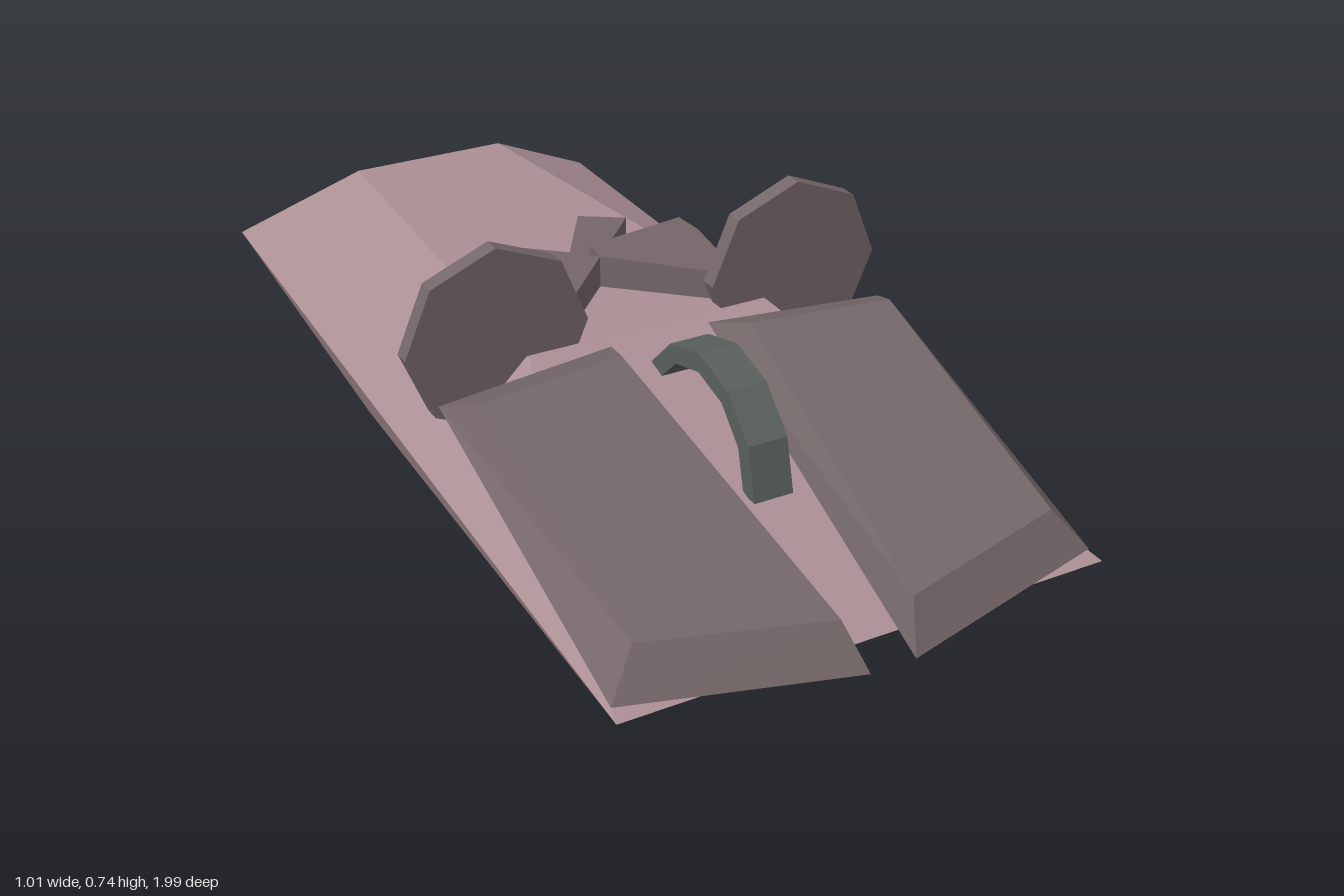
import * as THREE from 'three';

const paint = (color) => new THREE.MeshStandardMaterial({ color, flatShading: true });
const hullPaint = paint(0xab8f94);
const trimPaint = paint(0x756769);
const archPaint = paint(0x59605d);

// Skins a stack of four-cornered loops and closes both ends.
// Corners run front +x, back +x, back -x, front -x.
function loft(loops) {
  const pos = [];
  const quad = (a, b, c, d) => pos.push(...a, ...b, ...c, ...a, ...c, ...d);
  for (let k = 0; k + 1 < loops.length; k++) {
    const lo = loops[k], hi = loops[k + 1];
    for (let i = 0; i < 4; i++) {
      const j = (i + 1) % 4;
      quad(lo[i], lo[j], hi[j], hi[i]);
    }
  }
  quad(...[...loops[0]].reverse());
  quad(...loops[loops.length - 1]);
  const g = new THREE.BufferGeometry();
  g.setAttribute('position', new THREE.Float32BufferAttribute(pos, 3));
  g.computeVertexNormals();
  return g;
}

// Symmetric loop from the front and back half width, height and depth
const loop = (fx, fy, fz, bx, by, bz) =>
  [[fx, fy, fz], [bx, by, bz], [-bx, by, bz], [-fx, fy, fz]];

// Flat plate cut from an outline of [x, z] points, between two heights
function plate(points, bottom, top) {
  const shape = new THREE.Shape(points.map(([x, z]) => new THREE.Vector2(x, -z)));
  const g = new THREE.ExtrudeGeometry(shape, { depth: top - bottom, bevelEnabled: false });
  return g.rotateX(-Math.PI / 2).translate(0, bottom, 0);
}

export function createModel() {
  const model = new THREE.Group();
  const add = (name, geometry, material, x = 0, y = 0, z = 0) => {
    const mesh = new THREE.Mesh(geometry, material);
    mesh.name = name;
    mesh.position.set(x, y, z);
    model.add(mesh);
    return mesh;
  };

  // Hull: belly recess, flat bottom, wide rim and sloped deck
  add('hull', loft([
    loop(0.07, 0.03, 0.105, 0.07, 0.03, -0.195),
    loop(0.07, 0, 0.105, 0.07, 0, -0.195),
    loop(0.29, 0, 0.54, 0.29, 0, -0.63),
    loop(0.484, 0.285, 0.93, 0.437, 0.33, -1),
    loop(0.258, 0.51, 0.16, 0.176, 0.465, -0.91),
  ]), hullPaint, -0.005);

  // Bevelled front pads, mirrored left and right
  const padBase = [[0.478, 0.295, 0.9], [0.472, 0.5, 0.23], [0.105, 0.513, 0.195], [0.045, 0.267, 0.99]];
  const padTop = [[0.418, 0.372, 0.858], [0.435, 0.54, 0.32], [0.137, 0.55, 0.295], [0.072, 0.35, 0.935]];
  const mirror = (l) => l.map(([x, y, z]) => [-x, y, z]).reverse();
  add('leftFrontPad', loft([padBase, padTop]), trimPaint, -0.005);
  add('rightFrontPad', loft([padBase, padTop].map(mirror)), trimPaint, -0.005);

  // Upright eight-sided discs
  for (const [side, name] of [[1, 'leftDisc'], [-1, 'rightDisc']]) {
    const disc = new THREE.CylinderGeometry(0.185, 0.185, 0.035, 8).rotateX(Math.PI / 2);
    add(name, disc, trimPaint, side * 0.32, 0.558, 0.132);
  }

  // Half-ring arch between the pads
  const arch = new THREE.Shape();
  const arc = (r, i) => [r * Math.cos(i * Math.PI / 6), r * Math.sin(i * Math.PI / 6)];
  arch.moveTo(...arc(0.203, 0));
  for (let i = 1; i <= 6; i++) arch.lineTo(...arc(0.203, i));
  for (let i = 6; i >= 0; i--) arch.lineTo(...arc(0.165, i));
  const archGeometry = new THREE.ExtrudeGeometry(arch, { depth: 0.08, bevelEnabled: false })
    .translate(0, 0, -0.04).rotateY(Math.PI / 2);
  add('arch', archGeometry, archPaint, -0.008, 0.383, 0.412);

  // Large pair of angular plates on the deck
  add('leftLargePlate', plate(
    [[0, -0.06], [0.005, -0.115], [0.23, -0.15], [0.235, -0.08], [0.215, 0.06], [0.17, 0.11]],
    0.495, 0.567), trimPaint);
  add('rightLargePlate', plate(
    [[0, -0.06], [-0.16, 0.11], [-0.21, 0.06], [-0.28, -0.08], [-0.21, -0.125], [-0.035, -0.1]],
    0.495, 0.567), trimPaint);

  // Smaller, lower pair pointing backward
  add('leftSmallPlate', plate(
    [[-0.015, -0.165], [0.08, -0.315], [0.165, -0.26], [0.075, -0.165], [0.1, -0.12], [0, -0.08]],
    0.487, 0.535), trimPaint);
  add('rightSmallPlate', plate(
    [[-0.015, -0.165], [0, -0.08], [-0.1, -0.115], [-0.125, -0.165], [-0.215, -0.195], [-0.145, -0.275]],
    0.487, 0.535), trimPaint);

  return model;
}
